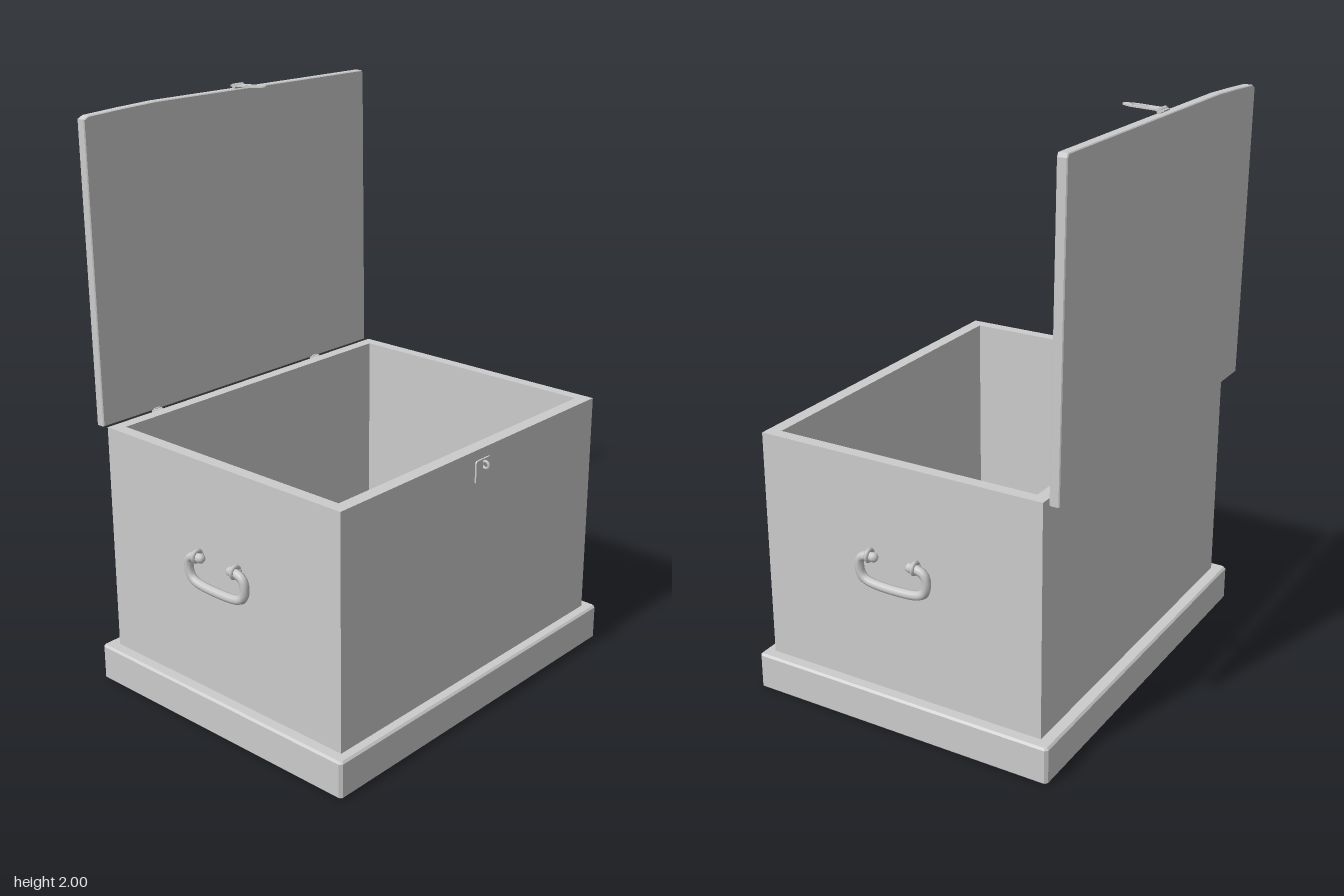
import * as THREE from 'three';

const mat = new THREE.MeshStandardMaterial({ color: 0xcccccc });

function add(parent, name, geo, x = 0, y = 0, z = 0) {
  const m = new THREE.Mesh(geo, mat);
  m.name = name;
  m.position.set(x, y, z);
  parent.add(m);
  return m;
}

// rectangle outline with cut corners
function rect(x0, x1, y0, y1, c = 0, Type = THREE.Shape) {
  const pts = c
    ? [[x0 + c, y0], [x1 - c, y0], [x1, y0 + c], [x1, y1 - c], [x1 - c, y1], [x0 + c, y1], [x0, y1 - c], [x0, y0 + c]]
    : [[x0, y0], [x1, y0], [x1, y1], [x0, y1]];
  return new Type(pts.map(p => new THREE.Vector2(...p)));
}

// shape drawn in (x, -z), raised along y
function slab(shape, height, bevel = 0) {
  const g = new THREE.ExtrudeGeometry(shape, {
    depth: height - 2 * bevel, bevelEnabled: bevel > 0,
    bevelThickness: bevel, bevelSize: bevel, bevelOffset: -bevel, bevelSegments: 1, curveSegments: 8
  });
  g.translate(0, 0, bevel);
  return g.rotateX(-Math.PI / 2);
}

// drop handle hanging on two eyes, on the +x wall
function makeHandle() {
  const h = new THREE.Group();
  const half = [[0.07, 0.616], [0.1, 0.614], [0.121, 0.602], [0.128, 0.57], [0.118, 0.537], [0.09, 0.521]];
  const lean = y => 0.68 - (0.616 - y) * 0.05;
  const pts = [...half, ...half.slice().reverse().map(([z, y]) => [-z, y])]
    .map(([z, y]) => new THREE.Vector3(lean(y), y, z));
  const path = new THREE.CurvePath();
  for (let i = 0; i < pts.length - 1; i++) path.add(new THREE.LineCurve3(pts[i], pts[i + 1]));
  add(h, 'handleBar', new THREE.TubeGeometry(new THREE.CatmullRomCurve3(pts, false, 'centripetal'), 56, 0.0155, 8));
  for (const s of [-1, 1]) {
    add(h, 'handleEye', new THREE.TorusGeometry(0.0185, 0.0075, 6, 14), 0.679, 0.619, s * 0.087);
    add(h, 'handleTip', new THREE.SphereGeometry(0.0165, 8, 6), 0.68, 0.616, s * 0.07);
    const post = add(h, 'handlePost', new THREE.CylinderGeometry(0.009, 0.009, 0.022, 8), 0.661, 0.619, s * 0.087);
    post.rotation.z = Math.PI / 2;
  }
  return h;
}

export function createModel() {
  const model = new THREE.Group();
  model.name = 'chest';

  // plinth
  add(model, 'plinth', slab(rect(-0.702, 0.698, -0.57, 0.555, 0.01), 0.132, 0.007));

  // open body with wall thickness, and its floor
  const walls = rect(-0.66, 0.656, -0.533, 0.51);
  walls.holes.push(rect(-0.617, 0.614, -0.487, 0.468, 0, THREE.Path));
  add(model, 'bodyWalls', slab(walls, 0.82), 0, 0.122, 0);
  add(model, 'bodyFloor', new THREE.BoxGeometry(1.25, 0.04, 0.97), 0, 0.137, 0.01);

  // raised lid, warped down at one corner and leaning slightly back
  const lidGroup = new THREE.Group();
  lidGroup.name = 'lid';
  lidGroup.position.set(0, 0.938, -0.53);
  lidGroup.rotation.x = -0.011;
  model.add(lidGroup);
  const lidShape = new THREE.Shape();
  lidShape.moveTo(-0.66, 0);
  lidShape.lineTo(0.656, 0);
  lidShape.lineTo(0.656, 1.03);
  lidShape.lineTo(0.65, 1.043);
  lidShape.lineTo(-0.36, 1.043);
  lidShape.lineTo(-0.5, 1.037);
  lidShape.lineTo(-0.64, 1.029);
  lidShape.lineTo(-0.66, 1.019);
  const lid = new THREE.ExtrudeGeometry(lidShape, {
    depth: 0.028, bevelEnabled: true, bevelThickness: 0.003, bevelSize: 0.003, bevelOffset: -0.003, bevelSegments: 1
  });
  add(lidGroup, 'lidPanel', lid, 0, 0, -0.031);

  // back hinges
  for (const x of [-0.427, 0.364]) {
    const pin = add(model, 'hingeBarrel', new THREE.CylinderGeometry(0.014, 0.014, 0.032, 10), x, 0.929, -0.523);
    pin.rotation.z = Math.PI / 2;
    add(model, 'hingeLeaf', new THREE.BoxGeometry(0.024, 0.022, 0.012), x, 0.925, -0.513);
    add(model, 'hingeLidLeaf', new THREE.BoxGeometry(0.024, 0.012, 0.018), x, 0.938, -0.533);
  }

  // hasp strap with a slot, hinged on the lid edge
  const strap = new THREE.Shape();
  strap.moveTo(-0.022, 0);
  strap.lineTo(-0.022, -0.11);
  strap.lineTo(-0.012, -0.141);
  strap.quadraticCurveTo(0, -0.153, 0.012, -0.141);
  strap.lineTo(0.022, -0.11);
  strap.lineTo(0.022, 0);
  const slot = new THREE.Path();
  slot.absarc(0, -0.065, 0.008, 0, Math.PI, false);
  slot.absarc(0, -0.11, 0.008, Math.PI, Math.PI * 2, false);
  strap.holes.push(slot);
  const hasp = add(model, 'haspStrap', slab(strap, 0.005), 0.021, 1.988, -0.568);
  hasp.rotation.x = -0.045;
  const barrel = add(model, 'haspBarrel', new THREE.CylinderGeometry(0.009, 0.009, 0.044, 10), 0.021, 1.99, -0.552);
  barrel.rotation.z = Math.PI / 2;

  // lock plate and staple on the front
  const plate = new THREE.ExtrudeGeometry(rect(-0.038, 0.038, 0, 0.08, 0.005), { depth: 0.007, bevelEnabled: false });
  add(model, 'lockPlate', plate, 0.02, 0.826, 0.532);
  const staple = add(model, 'lockStaple', new THREE.TorusGeometry(0.012, 0.005, 6, 14), 0.02, 0.887, 0.547);
  staple.rotation.y = Math.PI / 2;

  // side handles
  for (const [name, s, x] of [['leftHandle', 1, -0.002], ['rightHandle', -1, -0.004]]) {
    const h = makeHandle();
    h.name = name;
    h.position.set(x, 0, 0.02);
    if (s < 0) h.rotation.y = Math.PI;
    model.add(h);
  }
  return model;
}
